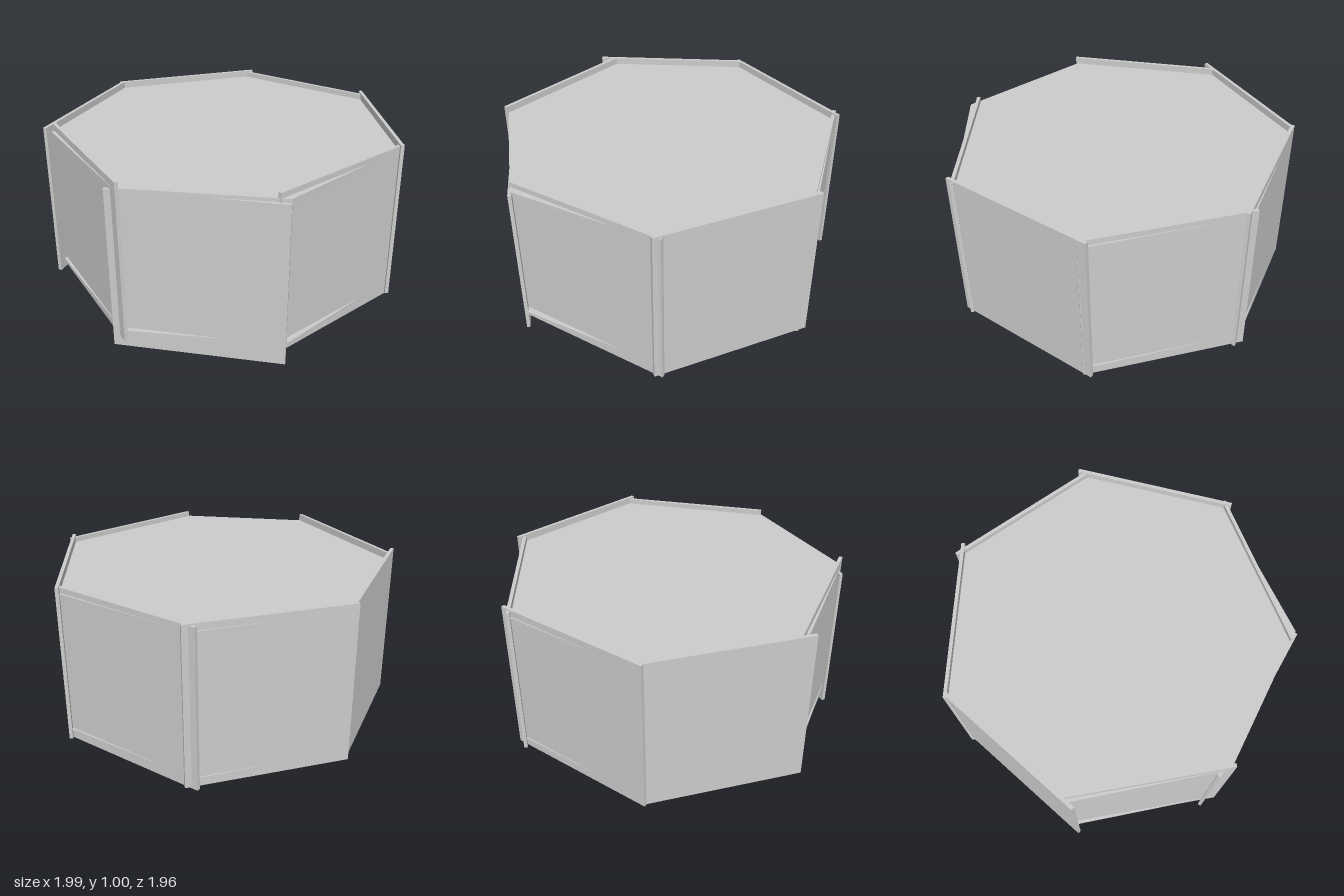
import * as THREE from 'three';

const SIDES = 7, RADIUS = 1.005, CX = -0.007, CZ = 0.035;
const PANEL_HEIGHT = 0.937, THICKNESS = 0.02;

// Each wall panel: name, start [x, z], end [x, z], bottom height
const PANELS = [
  ['frontPanel', [-0.48, 0.893], [0.449, 0.945], 0.053],
  ['frontLeftPanel', [0.405, 0.972], [0.988, 0.246], 0.063],
  ['leftPanel', [0.958, 0.295], [0.765, -0.615], 0.055],
  ['backLeftPanel', [0.81, -0.555], [-0.02, -0.97], 0.063],
  ['backRightPanel', [0.005, -0.962], [-0.842, -0.577], 0.063],
  ['rightPanel', [-0.757, -0.617], [-0.982, 0.285], 0.063],
  ['droppedPanel', [-0.99, 0.187], [-0.447, 0.945], 0],
];

export function createModel() {
  const group = new THREE.Group();
  const material = new THREE.MeshStandardMaterial({ color: 0xcccccc, flatShading: true });

  // Seven-sided lid and floor, one corner pointing to the back
  const plateGeometry = new THREE.CylinderGeometry(RADIUS, RADIUS, THICKNESS, SIDES, 1, false, Math.PI);
  for (const [name, y] of [['lid', 0.95], ['floor', 0.11]]) {
    const plate = new THREE.Mesh(plateGeometry, material);
    plate.name = name;
    plate.position.set(CX, y, CZ);
    group.add(plate);
  }

  // Loosely fitted wall panels, each a thin upright board between two points
  for (const [name, [x0, z0], [x1, z1], bottom] of PANELS) {
    const dx = x1 - x0, dz = z1 - z0;
    const panel = new THREE.Mesh(
      new THREE.BoxGeometry(Math.hypot(dx, dz), PANEL_HEIGHT, THICKNESS), material);
    panel.name = name;
    panel.position.set((x0 + x1) / 2, bottom + PANEL_HEIGHT / 2, (z0 + z1) / 2);
    panel.rotation.y = -Math.atan2(dz, dx);
    group.add(panel);
  }
  return group;
}
